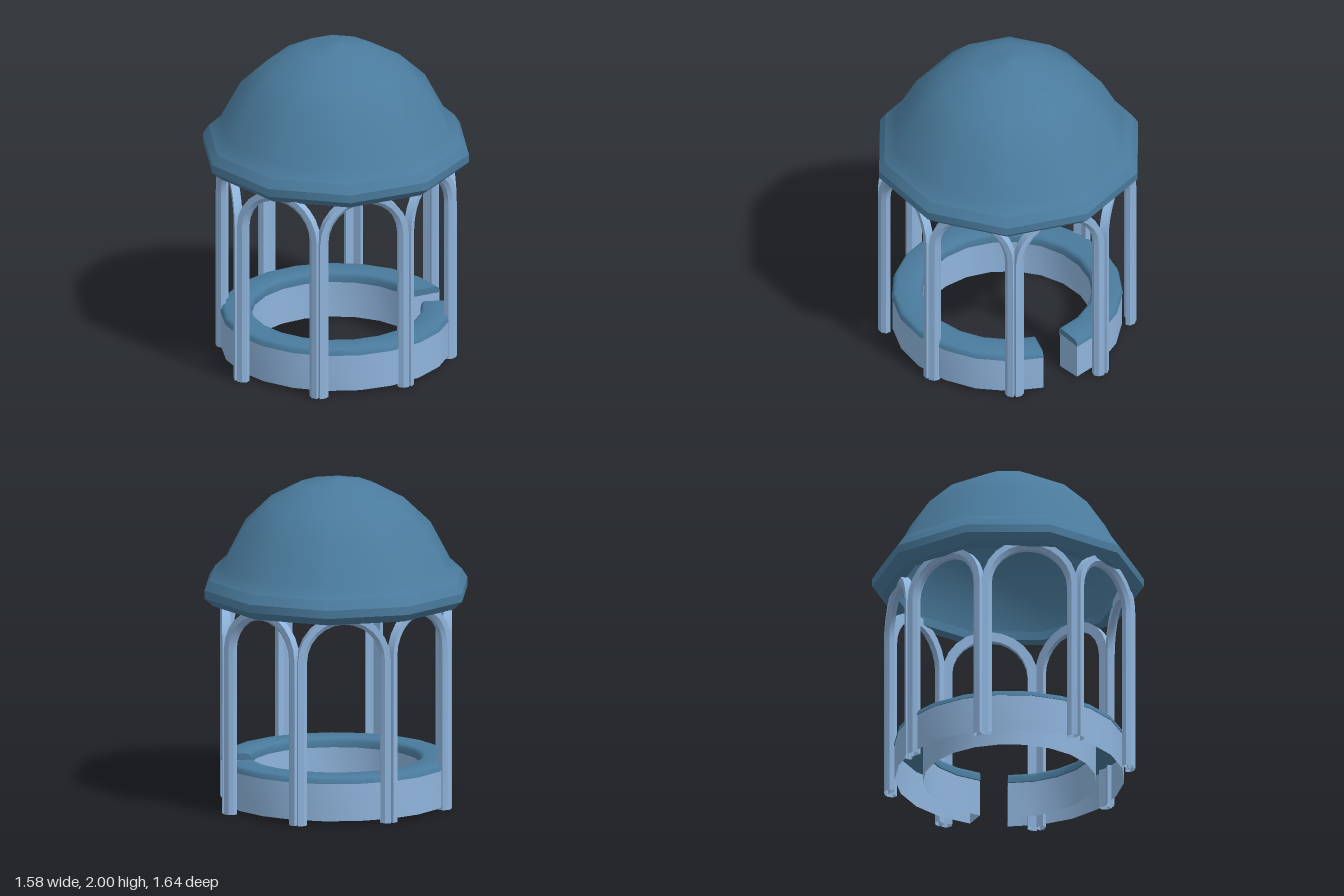
import * as THREE from 'three';
import { toCreasedNormals } from 'three/addons/utils/BufferGeometryUtils.js';
import { ParametricGeometry } from 'three/addons/geometries/ParametricGeometry.js';

const rad = THREE.MathUtils.degToRad;
const vecs = (pts) => pts.map(([r, y]) => new THREE.Vector2(r, y));

export function createModel() {
  const model = new THREE.Group();
  const roofBlue = new THREE.MeshStandardMaterial({ color: 0x4a7b9d });
  roofBlue.name = 'roof blue';
  const frameBlue = new THREE.MeshStandardMaterial({ color: 0x8fb4dc, side: THREE.DoubleSide });
  frameBlue.name = 'frame blue';

  const add = (name, geometry, material, parent = model) => {
    const mesh = new THREE.Mesh(geometry, material);
    mesh.name = name;
    parent.add(mesh);
    return mesh;
  };

  // Ten-sided roof: hollow dome on an eave of separate bands, each smooth around
  const tenSided = (pts) => new THREE.LatheGeometry(vecs(pts), 10, rad(-2));
  add('dome', tenSided([[0.785, 1.40], [0.71, 1.47], [0.588, 1.70], [0.42, 1.86], [0.22, 1.967], [0, 2]]), roofBlue);
  add('domeLining', tenSided([[0, 1.96], [0.2, 1.93], [0.39, 1.83], [0.55, 1.68], [0.66, 1.47], [0.69, 1.3]]), roofBlue);
  const eave = [[0.69, 1.3], [0.69, 1.245], [0.765, 1.245], [0.82, 1.295], [0.82, 1.345], [0.785, 1.40]];
  for (let i = 0; i < eave.length - 1; i++) add('eaveBand', tenSided([eave[i], eave[i + 1]]), roofBlue);

  // Eight arches, whose neighbouring legs meet as paired columns
  const half = [[-0.212, 0.728], [0.347, 0.615], [0.683, 0.193], [0.65, -0.385]];
  const corners = [1, -1].flatMap((s) => half.map(([x, z]) => new THREE.Vector2(s * x, s * z + 0.01)));
  const arches = new THREE.Group();
  arches.name = 'arches';
  model.add(arches);
  // Bar section as [distance in from the outer edge, z], chamfered on the outside
  const section = [[0, 0.025], [0, -0.025], [0.06, -0.025], [0.06, 0.005], [0.036, 0.025], [0, 0.025]];
  const arcSteps = 12;
  corners.forEach((a, k) => {
    const b = corners[(k + 1) % corners.length];
    const outer = a.distanceTo(b) / 2;
    const spring = 1.29 - outer;
    const sweep = (u, v, target) => {
      const i = Math.round(u * (arcSteps + 2));
      const step = THREE.MathUtils.clamp(i - 1, 0, arcSteps);
      const angle = Math.PI * (1 - step / arcSteps);
      const [inset, z] = section[Math.round(v * (section.length - 1))];
      const r = outer - inset;
      const foot = i === 0 || i === arcSteps + 2;
      target.set(r * Math.cos(angle), foot ? 0 : spring + r * Math.sin(angle), z);
    };
    const geometry = new ParametricGeometry(sweep, arcSteps + 2, section.length - 1);
    const arch = add('arch', toCreasedNormals(geometry, 0.5), frameBlue, arches);
    arch.position.set((a.x + b.x) / 2, 0, (a.y + b.y) / 2);
    arch.rotation.y = Math.atan2(a.y - b.y, b.x - a.x);
  });

  // Ring bench, hollow underneath, with a gap for the entrance
  const bench = new THREE.Group();
  bench.name = 'bench';
  bench.position.z = 0.01;
  model.add(bench);
  const gapStart = 89, gapEnd = 108;
  const ring = (name, pts, material, crease) => {
    const lathe = new THREE.LatheGeometry(vecs(pts), 20, rad(gapEnd), rad(360 - gapEnd + gapStart));
    add(name, toCreasedNormals(lathe, crease), material, bench);
  };
  const endFace = (name, pts, material, angle) => {
    const face = new THREE.ShapeGeometry(new THREE.Shape(vecs(pts)));
    // The face at the start of the gap is turned to look into it
    if (angle === gapStart) {
      face.setIndex(Array.from(face.index.array).reverse());
      face.computeVertexNormals();
    }
    face.rotateY(rad(angle - 90));
    add(name, face, material, bench);
  };
  const innerWall = [[0.525, 0.25], [0.525, 0]];
  const outerWall = [[0.695, 0.02], [0.695, 0.25]];
  const seat = [[0.515, 0.265], [0.515, 0.23], [0.53, 0.23], [0.535, 0.25], [0.7, 0.25],
    [0.69, 0.28], [0.67, 0.29], [0.54, 0.29], [0.523, 0.283]];
  ring('benchInnerWall', innerWall, frameBlue, 0.5);
  ring('benchOuterWall', outerWall, frameBlue, 0.5);
  ring('benchSeat', [...seat, seat[0]], roofBlue, 0.8);
  for (const angle of [gapStart, gapEnd]) {
    endFace('benchEnd', [...innerWall, ...outerWall], frameBlue, angle);
    endFace('seatEnd', seat, roofBlue, angle);
  }

  return model;
}
